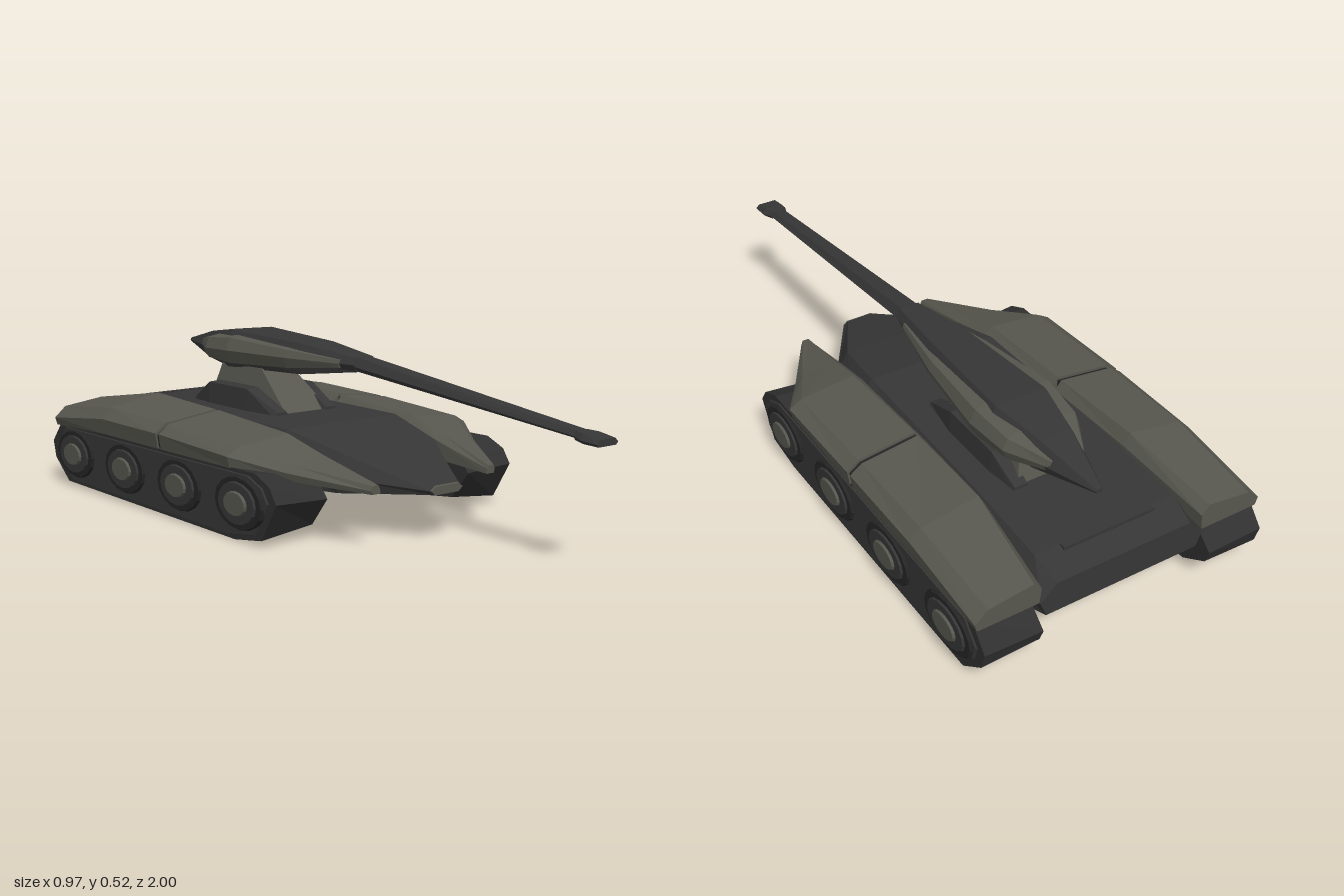
import * as THREE from 'three';

const mat = (name, color) => {
  const m = new THREE.MeshStandardMaterial({ color, flatShading: true });
  m.name = name;
  return m;
};

// Skin a row of convex rings of [x, y, z] corners and close both ends
function loft(rings) {
  const pos = [];
  const tri = (a, b, c) => pos.push(...a, ...b, ...c);
  const n = rings[0].length;
  for (let k = 0; k < rings.length - 1; k++) {
    for (let i = 0; i < n; i++) {
      const j = (i + 1) % n;
      tri(rings[k][i], rings[k][j], rings[k + 1][j]);
      tri(rings[k][i], rings[k + 1][j], rings[k + 1][i]);
    }
  }
  const first = rings[0], last = rings[rings.length - 1];
  for (let i = 1; i < n - 1; i++) {
    tri(first[0], first[i + 1], first[i]);
    tri(last[0], last[i], last[i + 1]);
  }
  const g = new THREE.BufferGeometry();
  g.setAttribute('position', new THREE.Float32BufferAttribute(pos, 3));
  g.computeVertexNormals();
  return g;
}

// Ring at z from [x, y] pairs, and its mirror image about x = 0
const ring = (z, ...pts) => pts.map(([x, y]) => [x, y, z]);
const mirror = (rings) => rings.map((r) => r.map(([x, y, z]) => [-x, y, z]).reverse());
const shift = (rings, dx) => rings.map((r) => r.map(([x, y, z]) => [x + dx, y, z]));

// Symmetric six-sided ring: bottom, middle and top half widths with heights
const hex = (z, b, yb, m, ym, t, yt) =>
  ring(z, [-b, yb], [b, yb], [m, ym], [t, yt], [-t, yt], [-m, ym]);

export function createModel() {
  const root = new THREE.Group();
  root.name = 'tank';
  const olive = mat('olive grey armour', 0x57574f);
  const charcoal = mat('charcoal hull', 0x363637);
  const tread = mat('dark tread', 0x303031);
  const black = mat('black rubber', 0x252526);

  const add = (name, geometry, material, parent = root) => {
    const mesh = new THREE.Mesh(geometry, material);
    mesh.name = name;
    parent.add(mesh);
    return mesh;
  };
  const addPair = (name, rings, material, dx = 0) => {
    add('left' + name, loft(shift(rings, dx)), material);
    add('right' + name, loft(shift(mirror(rings), dx)), material);
  };

  // Hull with a tapered wedge nose
  add('hull', loft([
    hex(-0.97, 0.25, 0.15, 0.27, 0.2, 0.22, 0.25),
    hex(-0.88, 0.27, 0.13, 0.28, 0.2, 0.23, 0.28),
    hex(-0.6, 0.27, 0.13, 0.28, 0.2, 0.225, 0.293),
    hex(0.0, 0.27, 0.13, 0.28, 0.2, 0.215, 0.29),
    hex(0.22, 0.2, 0.13, 0.22, 0.18, 0.18, 0.245),
    hex(0.465, 0.045, 0.145, 0.062, 0.158, 0.045, 0.172),
  ]), charcoal);
  add('nosePlate', loft([
    hex(0.465, 0.045, 0.145, 0.062, 0.158, 0.045, 0.172),
    hex(0.471, 0.045, 0.145, 0.06, 0.158, 0.045, 0.17),
  ]), olive);

  // Rear deck ridge
  const ridge = new THREE.BoxGeometry(0.3, 0.012, 0.02);
  ridge.translate(0, 0.278, -0.89);
  add('rearDeckRidge', ridge, charcoal);

  // Fenders, split in two along their length
  addPair('RearFender', [
    ring(-0.965, [0.27, 0.2], [0.462, 0.2], [0.47, 0.225], [0.43, 0.26], [0.29, 0.278], [0.265, 0.25]),
    ring(-0.65, [0.24, 0.21], [0.465, 0.212], [0.473, 0.262], [0.437, 0.296], [0.256, 0.327], [0.235, 0.29]),
    ring(-0.327, [0.228, 0.21], [0.465, 0.212], [0.473, 0.26], [0.435, 0.288], [0.25, 0.312], [0.228, 0.285]),
  ], olive);
  addPair('FrontFender', [
    ring(-0.31, [0.228, 0.21], [0.465, 0.212], [0.473, 0.26], [0.435, 0.288], [0.25, 0.312], [0.228, 0.285]),
    ring(0.05, [0.225, 0.2], [0.462, 0.212], [0.47, 0.245], [0.43, 0.268], [0.25, 0.288], [0.225, 0.265]),
    ring(0.2, [0.215, 0.175], [0.365, 0.185], [0.375, 0.21], [0.35, 0.23], [0.24, 0.247], [0.217, 0.23]),
    ring(0.42, [0.208, 0.165], [0.238, 0.165], [0.242, 0.176], [0.237, 0.19], [0.216, 0.19], [0.21, 0.18]),
  ], olive);
  addPair('FenderSeam', [
    ring(-0.33, [0.24, 0.21], [0.46, 0.215], [0.466, 0.255], [0.43, 0.28], [0.25, 0.303]),
    ring(-0.3, [0.24, 0.21], [0.46, 0.215], [0.466, 0.255], [0.43, 0.28], [0.25, 0.303]),
  ], black);

  // Tracks: side profile as [z, y], shallower on the inner face
  const profile = [[0.27, 0.14], [0.2, 0.025], [0.07, 0.005], [-0.9, 0.015],
    [-0.985, 0.085], [-1, 0.14], [-0.94, 0.21], [0.17, 0.215], [0.24, 0.185]];
  const trackRing = (x, squash, size = 1) => profile.map(([z, y]) =>
    [x, 0.11 + (y - 0.11) * squash * size, -0.365 + (z + 0.365) * (size + 1) / 2]);
  addPair('Track', [trackRing(0.278, 0.76), trackRing(0.46, 1)], tread);
  addPair('TrackSidePlate', [trackRing(0.459, 1, 0.9), trackRing(0.464, 1, 0.88)], charcoal);

  // Oval road wheels with raised hubs, outside and inside
  const disc = (r1, r2, w, ry, rz) => new THREE.CylinderGeometry(r1, r2, w, 16)
    .rotateZ(-Math.PI / 2).scale(1, ry, rz);
  const tyre = disc(0.9, 1, 0.02, 0.085, 0.125);
  const rim = disc(0.92, 1, 0.012, 0.066, 0.095);
  const hub = disc(0.85, 1, 0.014, 0.04, 0.06);
  for (const side of [1, -1]) {
    [0.1, -0.21, -0.522, -0.835].forEach((z, i) => {
      const wheel = new THREE.Group();
      wheel.name = (side > 0 ? 'left' : 'right') + 'Wheel' + (i + 1);
      wheel.position.set(side * 0.46, 0.118, z);
      if (side < 0) wheel.rotation.y = Math.PI;
      add('tyre', tyre, black, wheel).position.x = 0.002;
      add('rim', rim, charcoal, wheel).position.x = 0.012;
      add('hub', hub, olive, wheel).position.x = 0.018;
      const inner = add('innerWheel', rim, black, wheel);
      inner.position.x = -0.184;
      inner.rotation.y = Math.PI;
      root.add(wheel);
    });
  }

  // Turret pedestal with a cheek block on each side
  const frustum = [[-0.09, 0.28, -0.2], [0.09, 0.28, -0.2], [0.09, 0.28, -0.64], [-0.09, 0.28, -0.64]];
  const crown = [[-0.06, 0.415, -0.38], [0.06, 0.415, -0.38], [0.06, 0.415, -0.6], [-0.06, 0.415, -0.6]];
  add('turretPedestal', loft(shift([frustum, crown], 0.03)), olive);
  addPair('PedestalCheek', [
    ring(-0.65, [0.07, 0.28], [0.125, 0.28], [0.122, 0.3], [0.08, 0.3]),
    ring(-0.55, [0.06, 0.28], [0.138, 0.28], [0.134, 0.362], [0.09, 0.365]),
    ring(-0.34, [0.06, 0.28], [0.138, 0.28], [0.134, 0.362], [0.09, 0.365]),
    ring(-0.2, [0.07, 0.28], [0.125, 0.28], [0.115, 0.3], [0.08, 0.3]),
  ], charcoal, 0.015);

  // Long spindle turret, set off centre
  const cx = 0.065;
  add('turretBody', loft(shift([
    hex(-0.92, 0.008, 0.45, 0.012, 0.456, 0.008, 0.462),
    hex(-0.72, 0.065, 0.418, 0.08, 0.455, 0.05, 0.507),
    hex(-0.56, 0.1, 0.405, 0.118, 0.46, 0.08, 0.525),
    hex(-0.2, 0.075, 0.415, 0.085, 0.465, 0.06, 0.51),
    hex(0.03, 0.034, 0.443, 0.045, 0.465, 0.032, 0.487),
  ], cx)), charcoal);

  // Armour pods along the turret sides
  addPair('TurretPod', [
    ring(-0.78, [0.035, 0.44], [0.05, 0.44], [0.057, 0.457], [0.052, 0.475], [0.035, 0.48]),
    ring(-0.66, [0.07, 0.422], [0.11, 0.427], [0.124, 0.46], [0.11, 0.495], [0.06, 0.505]),
    ring(-0.52, [0.08, 0.415], [0.122, 0.422], [0.138, 0.465], [0.122, 0.506], [0.07, 0.514]),
    ring(-0.25, [0.07, 0.428], [0.092, 0.432], [0.104, 0.465], [0.094, 0.49], [0.06, 0.496]),
    ring(-0.03, [0.04, 0.45], [0.054, 0.452], [0.058, 0.465], [0.054, 0.476], [0.04, 0.478]),
  ], olive, cx);

  // Gun barrel drooping towards a wider muzzle
  add('barrel', loft(shift([
    hex(0.0, 0.03, 0.447, 0.044, 0.463, 0.026, 0.49),
    hex(0.94, 0.022, 0.361, 0.029, 0.367, 0.018, 0.38),
  ], cx)), charcoal);
  add('muzzle', loft(shift([
    hex(0.91, 0.024, 0.359, 0.03, 0.37, 0.02, 0.384),
    hex(0.945, 0.034, 0.355, 0.043, 0.365, 0.03, 0.381),
    hex(1.0, 0.034, 0.353, 0.042, 0.361, 0.03, 0.372),
  ], cx)), charcoal);

  return root;
}
